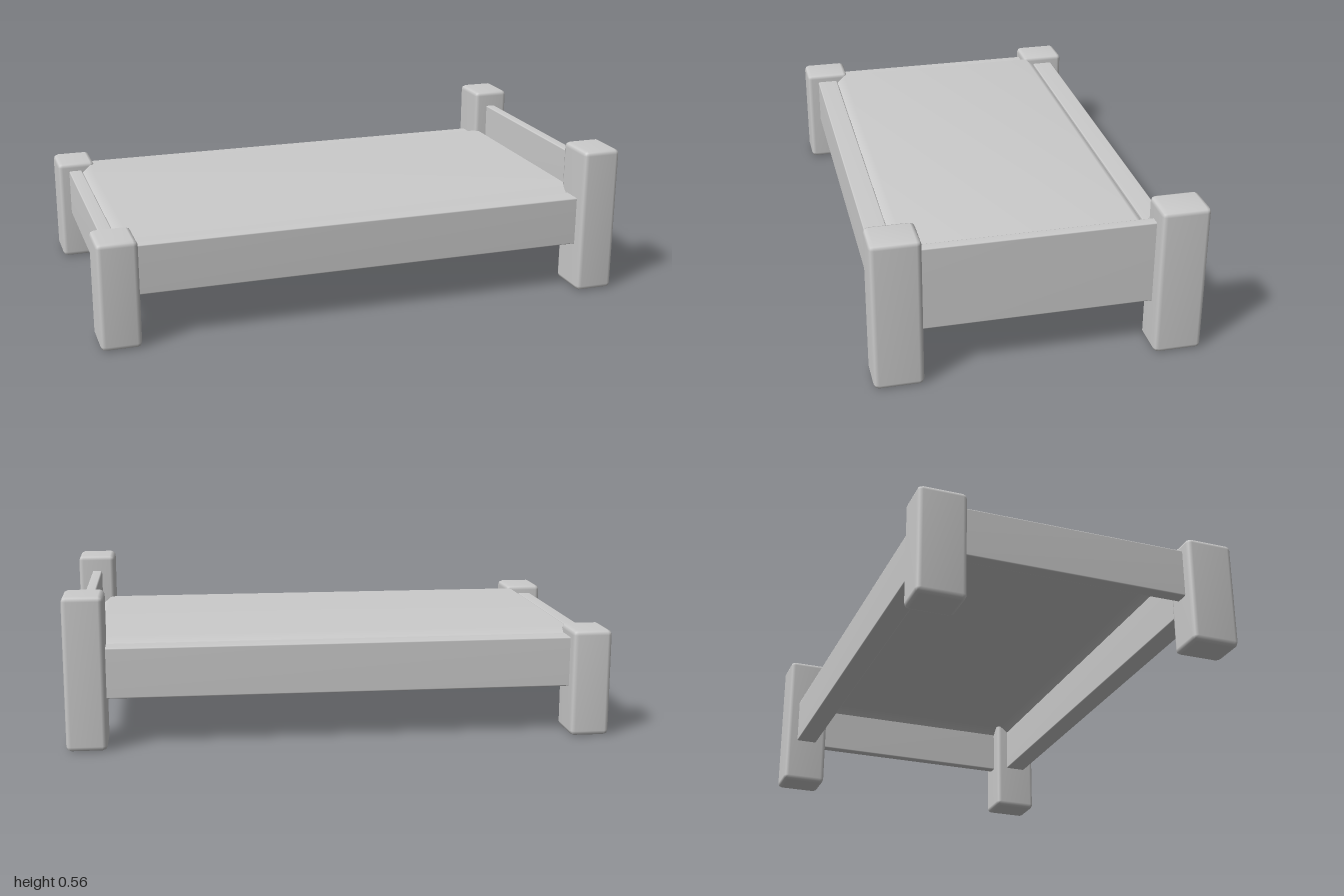
import * as THREE from 'three';
import { mergeVertices } from 'three/addons/utils/BufferGeometryUtils.js';
import { RoundedBoxGeometry } from 'three/addons/geometries/RoundedBoxGeometry.js';

const material = new THREE.MeshStandardMaterial({ color: 0xcccccc });
const sheetMaterial = new THREE.MeshStandardMaterial({ color: 0xcccccc, side: THREE.DoubleSide });

// Chamfered box between two corners, with soft shared normals
function softBox(name, [x0, y0, z0], [x1, y1, z1], chamfer) {
  let geometry = new RoundedBoxGeometry(x1 - x0, y1 - y0, z1 - z0, 1, chamfer);
  geometry.deleteAttribute('normal');
  geometry.deleteAttribute('uv');
  geometry = mergeVertices(geometry, 1e-4);
  geometry.computeVertexNormals();
  const mesh = new THREE.Mesh(geometry, material);
  mesh.name = name;
  mesh.position.set((x0 + x1) / 2, (y0 + y1) / 2, (z0 + z1) / 2);
  return mesh;
}

// Open sheet with a flat top and a rim sloping down all round
function mattressSheet(halfX, halfZ, top, inset, drop) {
  const geometry = new THREE.PlaneGeometry(2, 2, 3, 3).rotateX(-Math.PI / 2);
  const p = geometry.attributes.position;
  const place = (v, half) => Math.sign(v) * (Math.abs(v) > 0.9 ? half : half - inset);
  for (let i = 0; i < p.count; i++) {
    const x = p.getX(i), z = p.getZ(i);
    const onRim = Math.max(Math.abs(x), Math.abs(z)) > 0.9;
    p.setXYZ(i, place(x, halfX), onRim ? top - drop : top, place(z, halfZ));
  }
  geometry.computeVertexNormals();
  const mesh = new THREE.Mesh(geometry, sheetMaterial);
  mesh.name = 'mattress';
  return mesh;
}

export function createModel() {
  const bed = new THREE.Group();
  bed.name = 'bed';

  for (const [side, s] of [['front', 1], ['back', -1]]) {
    const z = s * 0.5;
    // Tall head posts and short foot posts
    bed.add(softBox(side + 'HeadPost', [0.853, 0, z - 0.088], [1, 0.563, z + 0.088], 0.018));
    bed.add(softBox(side + 'FootPost', [-1, 0, z - 0.088], [-0.853, 0.4, z + 0.088], 0.018));
    // Long side rails running into the posts
    bed.add(softBox(side + 'Rail', [-0.87, 0.182, z - 0.042], [0.87, 0.368, z + 0.042], 0.005));
  }

  // End boards
  bed.add(softBox('headboard', [0.905, 0.187, -0.43], [0.944, 0.5, 0.43], 0.005));
  bed.add(softBox('footboard', [-0.957, 0.187, -0.43], [-0.905, 0.368, 0.43], 0.005));

  bed.add(mattressSheet(0.906, 0.46, 0.387, 0.035, 0.03));

  return bed;
}
